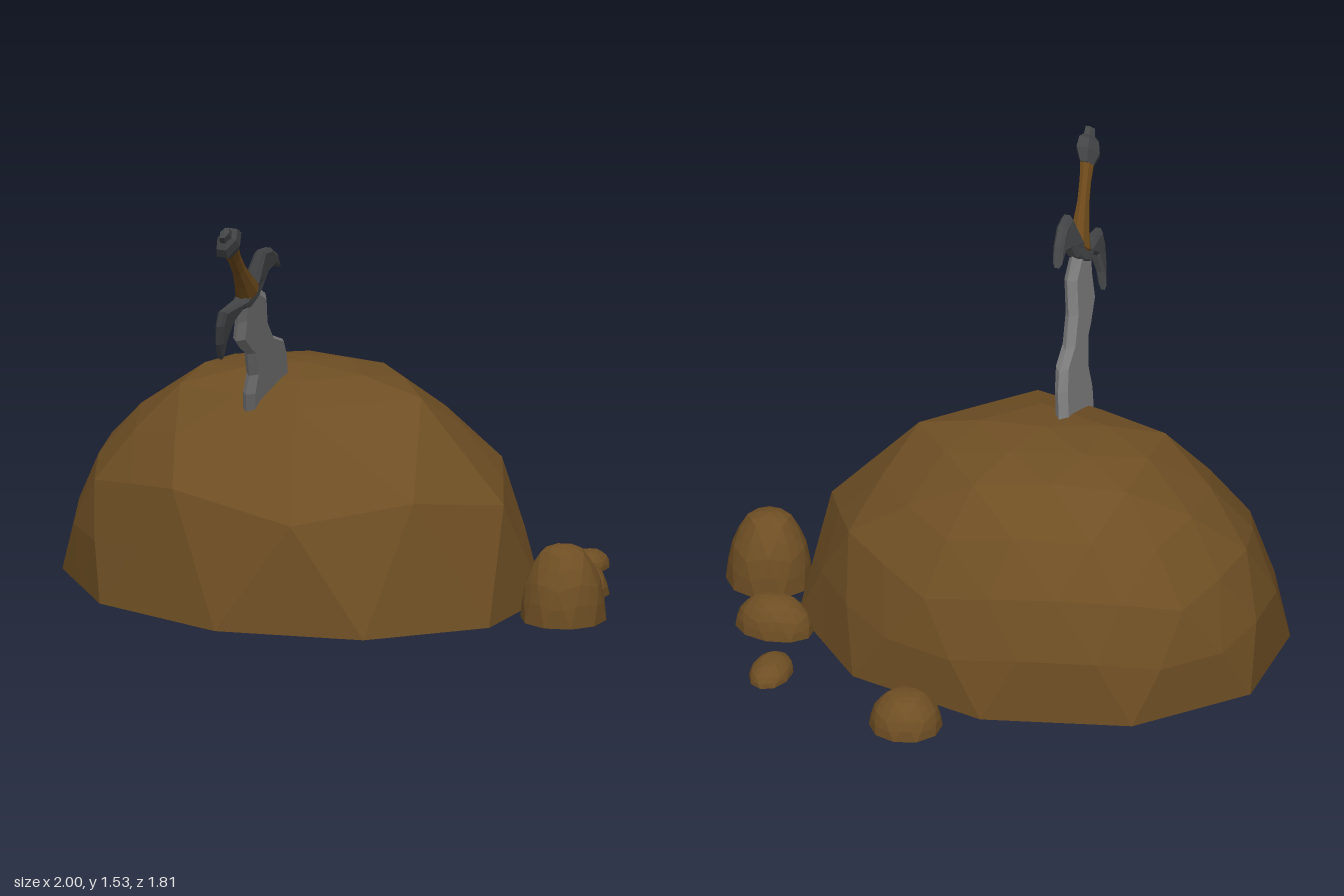
import * as THREE from 'three';

const mat = (name, color, extra = {}) => {
  const m = new THREE.MeshStandardMaterial({ color, flatShading: true, ...extra });
  m.name = name;
  return m;
};

// Flat triangle soup from a list of Vector3 corners
function soup(points) {
  const g = new THREE.BufferGeometry().setFromPoints(points);
  g.computeVertexNormals();
  return g;
}

// Open half icosphere; bulge(dir) says how round the second subdivision is
function domeGeometry(cx, cz, rx, ry, rz, bulge) {
  const ringAt = (n, start, r, y) => Array.from({ length: n }, (_, i) => {
    const a = start + (i * 2 * Math.PI) / n;
    return new THREE.Vector3(r * Math.cos(a), y, r * Math.sin(a));
  });
  const top = new THREE.Vector3(0, 0.936, 0);
  const high = ringAt(5, 0, 0.526, 0.851);
  const low = ringAt(5, 0, 0.894, 0.447);
  const between = ringAt(5, Math.PI / 5, 0.851, 0.526);
  const base = ringAt(10, Math.PI / 10, 0.951 / Math.cos(Math.PI / 10), 0);
  const faces = [];
  for (let i = 0; i < 5; i++) {
    const j = (i + 1) % 5, b = 2 * i;
    faces.push(
      [top, high[j], high[i]],
      [high[i], high[j], between[i]],
      [high[i], between[i], low[i]],
      [high[j], low[j], between[i]],
      [low[i], between[i], base[b]],
      [between[i], base[b + 1], base[b]],
      [between[i], low[j], base[b + 1]],
      [low[i], base[b], base[(b + 9) % 10]],
    );
  }
  // Edge midpoints are pushed towards the sphere, except along the open rim
  const mid = (p, q) => {
    const m = p.clone().add(q).multiplyScalar(0.5);
    if (m.y < 0.01) return m;
    const k = p.y > 0.9 || q.y > 0.9 ? 0.3 : bulge(m);
    return m.lerp(m.clone().normalize(), k);
  };
  const out = [];
  for (const [a, b, c] of faces) {
    const ab = mid(a, b), bc = mid(b, c), ca = mid(c, a);
    for (const p of [a, ab, ca, ab, b, bc, ca, bc, c, ab, bc, ca]) {
      out.push(new THREE.Vector3(cx + p.x * rx, p.y * ry, cz + p.z * rz));
    }
  }
  return soup(out);
}

// Blade from six-sided sections between its two wavy edges (u, v)
function bladeGeometry() {
  const left = [[0.385, 0.71], [0.414, 0.78], [0.42, 0.853], [0.477, 0.95], [0.52, 0.973], [0.6, 1.03], [0.617, 1.1], [0.645, 1.17]];
  const right = [[0.1, 0.75], [0.11, 0.8], [0.15, 0.877], [0.2, 0.935], [0.294, 0.973], [0.376, 1.055], [0.43, 1.166], [0.55, 1.235]];
  const sections = left.map(([lu, lv], i) => {
    const [ru, rv] = right[i];
    const l = new THREE.Vector3(lu, lv, 0), r = new THREE.Vector3(ru, rv, 0);
    const d = r.clone().sub(l).normalize();
    const flat = (p, inset, w) => p.clone().addScaledVector(d, inset).setZ(w);
    return [l, flat(l, 0.025, -0.024), flat(r, -0.035, -0.024), r, flat(r, -0.035, 0.024), flat(l, 0.025, 0.024)];
  });
  const out = [];
  for (let s = 0; s < sections.length - 1; s++) {
    const p = sections[s], q = sections[s + 1];
    for (let i = 0; i < 6; i++) {
      const j = (i + 1) % 6;
      out.push(p[i], p[j], q[j], p[i], q[j], q[i]);
    }
  }
  const a = sections[0], z = sections[sections.length - 1];
  for (let i = 1; i < 5; i++) out.push(a[0], a[i + 1], a[i], z[0], z[i], z[i + 1]);
  return soup(out);
}

// Crossguard with two hooked horns, thinning towards the tips
function guardGeometry() {
  const outline = [
    [0.583, 1.255], [0.572, 1.3], [0.556, 1.36], [0.487, 1.353], [0.415, 1.31], [0.373, 1.25], [0.44, 1.275], [0.496, 1.262],
    [0.52, 1.215], [0.55, 1.18], [0.598, 1.152], [0.645, 1.162], [0.69, 1.13], [0.704, 1.055], [0.699, 0.988],
    [0.75, 1.055], [0.776, 1.13], [0.778, 1.188], [0.705, 1.195], [0.635, 1.2],
  ].map(([u, v]) => new THREE.Vector2(u, v));
  const g = new THREE.ExtrudeGeometry(new THREE.Shape(outline), {
    depth: 0.03, bevelThickness: 0.015, bevelSize: 0.012, bevelOffset: -0.012, bevelSegments: 1,
  });
  g.translate(0, 0, -0.015);
  const p = g.attributes.position;
  for (let i = 0; i < p.count; i++) {
    const far = Math.hypot(p.getX(i) - 0.585, p.getY(i) - 1.21);
    p.setZ(i, p.getZ(i) * (1.15 - 2.8 * far));
  }
  return g;
}

// Turned part along the grip axis, flattened across the sword
function turned(profile, sides, flatten) {
  const g = new THREE.LatheGeometry(profile.map(([r, y]) => new THREE.Vector2(r, y)), sides);
  return g.scale(1, 1, flatten).rotateZ(-0.8).translate(0.59, 1.215, 0);
}

export function createModel() {
  const model = new THREE.Group();
  const rock = mat('brown rock', 0x6f4f24, { side: THREE.DoubleSide });
  const grip = mat('brown grip', 0x6b481a);
  const steel = mat('grey steel', 0x7a7a7a);
  const iron = mat('dark iron', 0x424446);
  const add = (parent, name, geometry, material) => {
    const mesh = new THREE.Mesh(geometry, material);
    mesh.name = name;
    parent.add(mesh);
  };

  // Boulder: coarse at the front right, rounder at the back left
  const rounder = (m) => THREE.MathUtils.clamp(0.35 - 0.5 * m.x - 0.6 * m.z, 0, 0.75);
  add(model, 'boulder', domeGeometry(-0.16, 0.033, 0.883, 0.865, 0.685, rounder), rock);

  // Pebbles: x, z, half width, height, half depth
  const pebbles = [
    [0.075, -0.77, 0.13, 0.14, 0.127],
    [0.635, -0.597, 0.074, 0.066, 0.114],
    [0.725, -0.3, 0.143, 0.14, 0.098],
    [0.855, 0.015, 0.153, 0.288, 0.15],
  ];
  pebbles.forEach(([x, z, rx, h, rz], i) => {
    add(model, 'pebble' + (i + 1), domeGeometry(x, z, rx, h, rz, () => 0.6), rock);
  });

  // Sword, drawn in its own plane (u, v, w), then leaned into place
  const sword = new THREE.Group();
  sword.name = 'sword';
  const lean = new THREE.Matrix4().set(
    0, 0.22, -1, -0.363,
    0, 1, 0, 0,
    1, 0, 0, 0,
    0, 0, 0, 1,
  );
  const addSword = (name, geometry, material) => {
    geometry.applyMatrix4(lean);
    geometry.computeVertexNormals();
    add(sword, name, geometry, material);
  };
  addSword('blade', bladeGeometry(), steel);
  addSword('crossguard', guardGeometry(), iron);
  addSword('grip', turned([[0, -0.02], [0.05, 0], [0.036, 0.08], [0.026, 0.16], [0.025, 0.24], [0.032, 0.32], [0, 0.33]], 8, 0.8), grip);
  addSword('pommel', turned([[0, 0.295], [0.036, 0.3], [0.062, 0.345], [0.052, 0.385], [0.03, 0.4], [0.024, 0.43], [0, 0.435]], 6, 0.7), iron);
  model.add(sword);
  return model;
}
